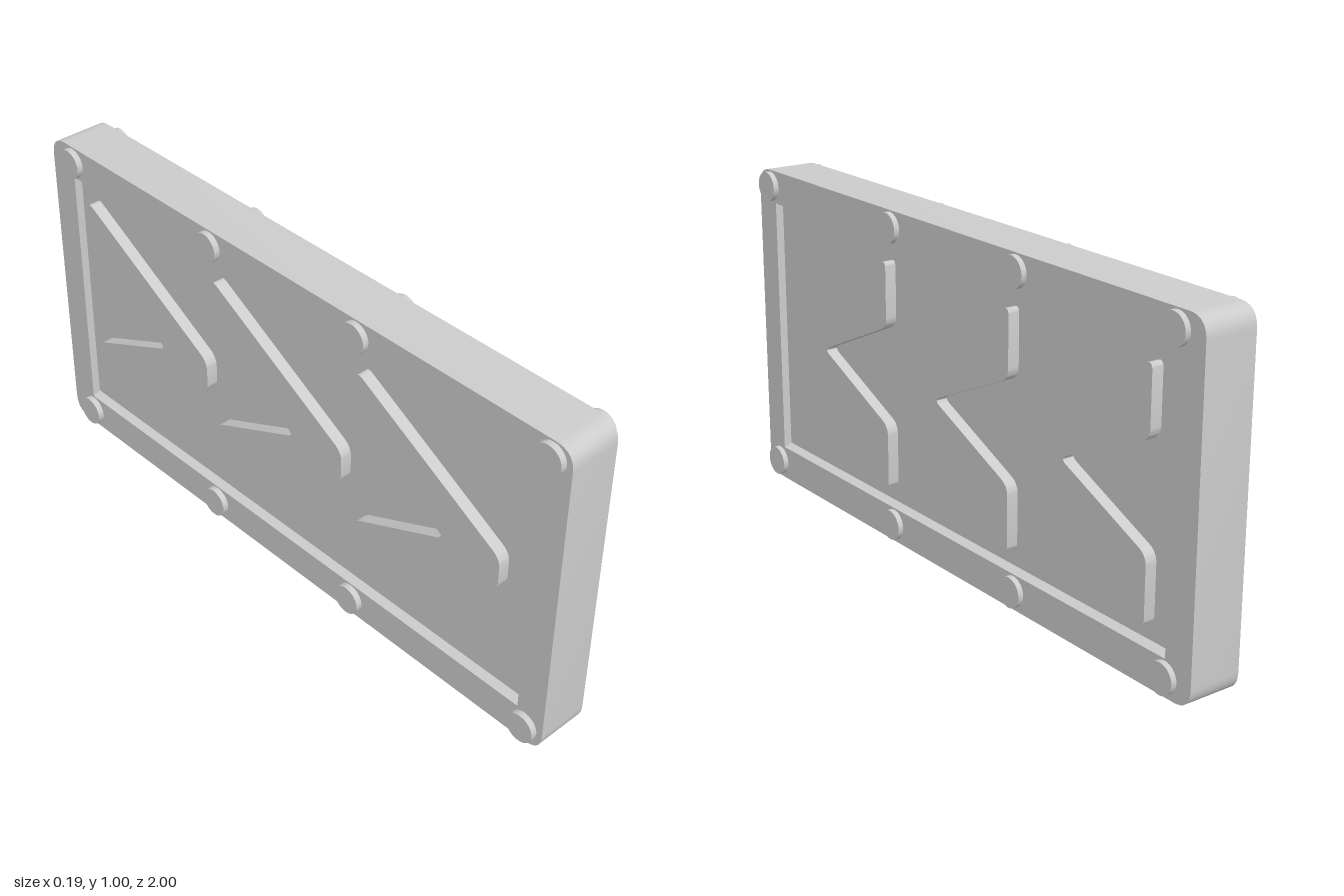
import * as THREE from 'three';
import { toCreasedNormals } from 'three/addons/utils/BufferGeometryUtils.js';

const material = new THREE.MeshStandardMaterial({ color: 0xcccccc });
const MID_Y = 0.505;

// Traces a closed polygon of [z, y] corners, each softened by cutting back r along its edges.
function roundedPath(path, corners, r) {
  const pts = corners.map(([z, y]) => new THREE.Vector2(z, y));
  const toward = (a, b) => a.clone().add(b.clone().sub(a).setLength(r));
  pts.forEach((p, i) => {
    const start = toward(p, pts.at(i - 1));
    const end = toward(p, pts[(i + 1) % pts.length]);
    if (i === 0) path.moveTo(start.x, start.y);
    else path.lineTo(start.x, start.y);
    path.quadraticCurveTo(p.x, p.y, end.x, end.y);
  });
  path.closePath();
  return path;
}

const rectangle = (z0, z1, y0, y1) => [[z0, y0], [z1, y0], [z1, y1], [z0, y1]];

// Extrudes a (z, y) shape across the thickness, from x0 to x1.
function slab(shape, x0, x1) {
  const geo = new THREE.ExtrudeGeometry(shape, { depth: x1 - x0, bevelEnabled: false, curveSegments: 8 });
  geo.rotateY(-Math.PI / 2).translate(x1, 0, 0);
  return toCreasedNormals(geo, 0.5);
}

export function createModel() {
  const model = new THREE.Group();
  model.name = 'arrowSign';
  const add = (name, geometry) => {
    const mesh = new THREE.Mesh(geometry, material);
    mesh.name = name;
    model.add(mesh);
    return mesh;
  };

  // Border with rounded outer corners and a rectangular window
  const border = roundedPath(new THREE.Shape(), rectangle(-1, 1, 0, 1.005), 0.06);
  border.holes.push(new THREE.Path(
    rectangle(-0.905, 0.91, 0.105, 0.905).map(([z, y]) => new THREE.Vector2(z, y))));
  add('frame', slab(border, -0.08, 0.08));

  // Recessed panel filling the window
  const panel = add('panel', new THREE.BoxGeometry(0.11, 0.81, 1.83));
  panel.position.set(0, MID_Y, 0.0025);

  // Slightly sloped upper and lower walls of the recess, on both faces
  for (const side of [-1, 1]) {
    for (const up of [-1, 1]) {
      const wedge = new THREE.Shape([[0.08, 0.4], [0.055, 0.4], [0.055, 0.39]].map(
        ([x, y]) => new THREE.Vector2(side * x, MID_Y + up * y)));
      const geo = new THREE.ExtrudeGeometry(wedge, { depth: 1.815, bevelEnabled: false });
      add('recessSlope', geo.translate(0, 0, -0.905));
    }
  }

  // Three raised chevrons pointing forward, showing on both faces
  const chevron = [
    [0, 0.352], [0.524, 0.052], [0.524, -0.052], [0, -0.352],
    [0, -0.151], [0.338, 0], [0, 0.151],
  ];
  for (const z of [0.294, -0.278, -0.834]) {
    const corners = chevron.map(([dz, dy]) => [z + dz, MID_Y + 0.005 + dy]);
    add('chevron', slab(roundedPath(new THREE.Shape(), corners, 0.03), -0.091, 0.09));
  }

  // Rivets through the upper and lower rails
  for (const y of [0.055, 0.955]) {
    for (const z of [0.936, 0.281, -0.294, -0.904]) {
      const rivet = add('rivet', new THREE.CylinderGeometry(0.045, 0.045, 0.195, 32));
      rivet.rotation.z = Math.PI / 2;
      rivet.position.set(-0.001, y, z);
    }
  }

  return model;
}
